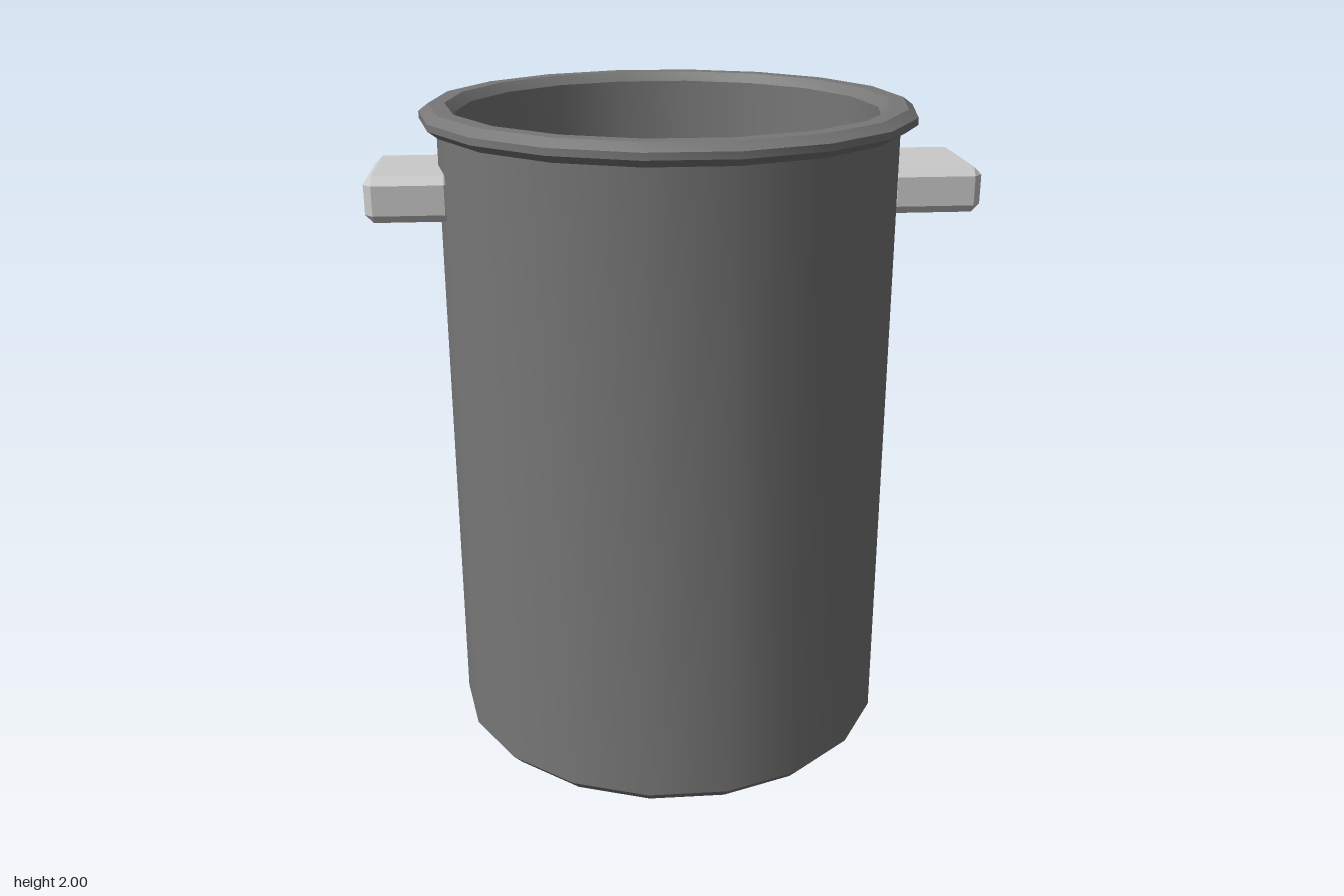
import * as THREE from 'three';
import { toCreasedNormals } from 'three/addons/utils/BufferGeometryUtils.js';
import { ConvexGeometry } from 'three/addons/geometries/ConvexGeometry.js';

const potMetal = new THREE.MeshStandardMaterial({ color: 0x777777 });
potMetal.name = 'dark grey metal';
const handleMetal = new THREE.MeshStandardMaterial({ color: 0xcacaca });
handleMetal.name = 'light grey metal';

// 18-sided turned part; sides stay smooth, chamfers stay sharp
function turned(name, profile) {
  const points = profile.map(([r, y]) => new THREE.Vector2(r, y));
  const geometry = new THREE.LatheGeometry(points, 18, Math.PI / 2);
  const mesh = new THREE.Mesh(toCreasedNormals(geometry, 0.42), potMetal);
  mesh.name = name;
  return mesh;
}

// Block with every edge and corner cut flat
function chamferedBlock(w, h, d, c) {
  const points = [];
  for (const x of [-1, 1]) for (const y of [-1, 1]) for (const z of [-1, 1]) {
    for (let axis = 0; axis < 3; axis++) {
      const cut = [c, c, c];
      cut[axis] = 0;
      points.push(new THREE.Vector3(
        x * (w / 2 - cut[0]), y * (h / 2 - cut[1]), z * (d / 2 - cut[2])));
    }
  }
  return new ConvexGeometry(points);
}

export function createModel() {
  const model = new THREE.Group();
  model.name = 'cookingPot';

  // Vessel: base, chamfer, outer wall, rolled lip, inner wall and floor
  const pot = new THREE.Group();
  pot.name = 'vessel';
  pot.position.x = -0.012;
  pot.add(
    turned('outerWall', [[0, 0], [0.655, 0], [0.688, 0.035], [0.688, 1.94]]),
    turned('rim', [
      [0.688, 1.935], [0.705, 1.935], [0.737, 1.958], [0.737, 1.978],
      [0.708, 2], [0.66, 2], [0.633, 1.972],
    ]),
    turned('innerWall', [[0.633, 1.972], [0.633, 0.05], [0, 0.05]]),
  );
  model.add(pot);

  // One chamfered grip on each side, set into the wall
  const inner = 0.638;
  for (const [name, side] of [['leftHandle', 1], ['rightHandle', -1]]) {
    const start = pot.position.x + side * inner;
    const end = side * 0.905;
    const handle = new THREE.Mesh(
      chamferedBlock(Math.abs(end - start), 0.135, 0.375, 0.024), handleMetal);
    handle.name = name;
    handle.position.set((start + end) / 2, 1.75, -0.006);
    model.add(handle);
  }
  return model;
}
